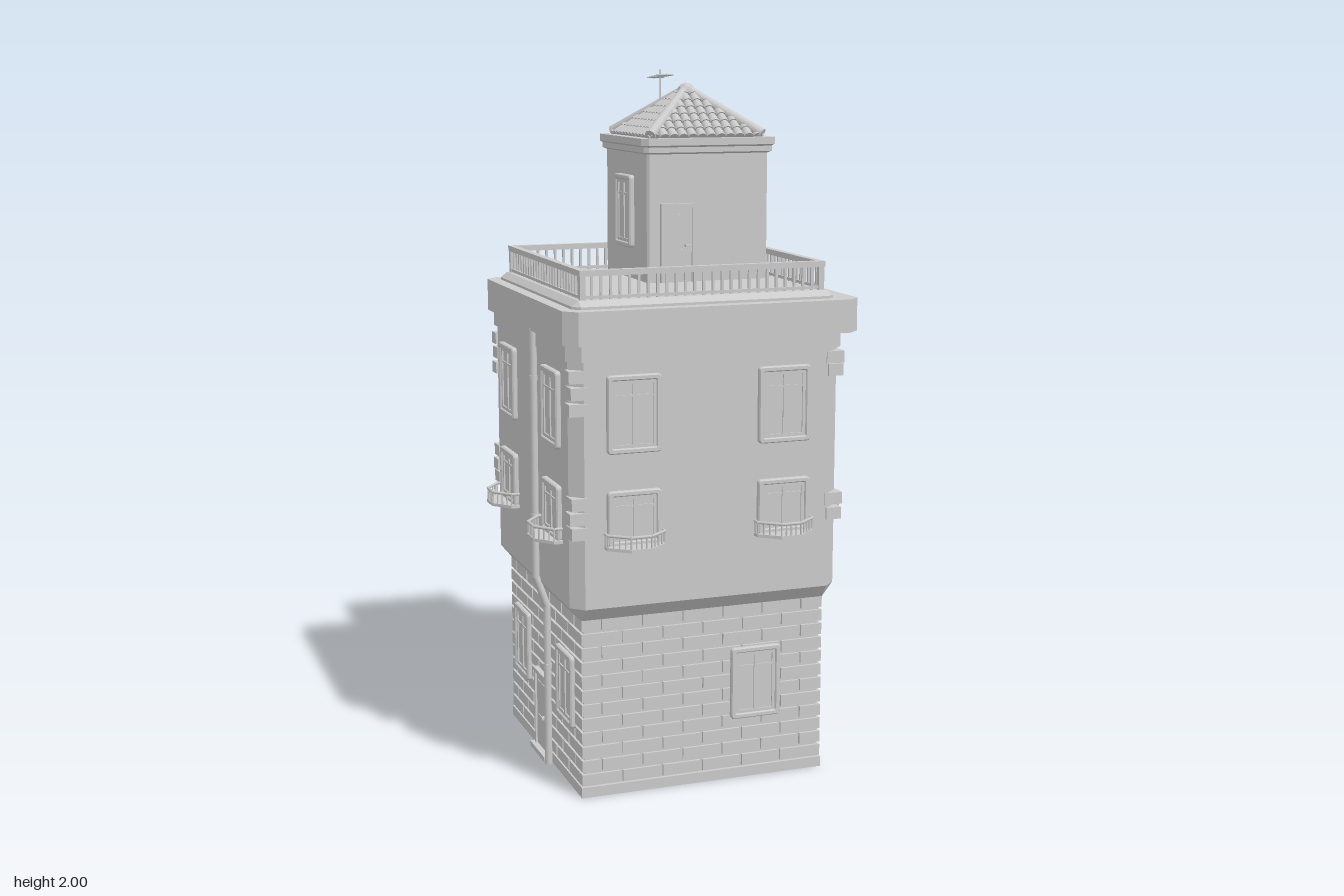
import * as THREE from 'three';
import { mergeGeometries } from 'three/addons/utils/BufferGeometryUtils.js';

const grey = new THREE.MeshStandardMaterial({ color: 0xcccccc });
const flat = new THREE.MeshStandardMaterial({ color: 0xcccccc, flatShading: true });
const V = (x, y, z) => new THREE.Vector3(x, y, z);

function add(parent, name, geo, mat = grey) {
  const m = new THREE.Mesh(Array.isArray(geo) ? mergeGeometries(geo) : geo, mat);
  m.name = name;
  parent.add(m);
  return m;
}
function group(parent, name, x = 0, y = 0, z = 0) {
  const g = new THREE.Group();
  g.name = name;
  g.position.set(x, y, z);
  parent.add(g);
  return g;
}
const box = (w, h, d, x, y, z) => new THREE.BoxGeometry(w, h, d).translate(x, y, z);

// Cylinder between two points, optionally tapered
function rod(a, b, r, r2 = r, sides = 6) {
  const d = b.clone().sub(a);
  const q = new THREE.Quaternion().setFromUnitVectors(V(0, 1, 0), d.clone().normalize());
  return new THREE.CylinderGeometry(r2, r, d.length(), sides)
    .applyQuaternion(q).translate((a.x + b.x) / 2, (a.y + b.y) / 2, (a.z + b.z) / 2);
}

// Stack of square sections with cut corners; each ring is [y, half width, corner cut]
function loft(rings) {
  const pos = [];
  const loops = rings.map(([y, h, c]) => {
    const k = h - c;
    return [[-k, h], [k, h], [h, k], [h, -k], [k, -h], [-k, -h], [-h, -k], [-h, k]].map(([x, z]) => [x, y, z]);
  });
  const tri = (a, b, c) => pos.push(...a, ...b, ...c);
  for (let r = 0; r + 1 < loops.length; r++) {
    const lo = loops[r], hi = loops[r + 1];
    for (let i = 0; i < 8; i++) {
      const j = (i + 1) % 8;
      tri(lo[i], lo[j], hi[j]);
      tri(lo[i], hi[j], hi[i]);
    }
  }
  const first = loops[0], last = loops[loops.length - 1];
  for (let i = 1; i < 7; i++) {
    tri(first[0], first[i + 1], first[i]);
    tri(last[0], last[i], last[i + 1]);
  }
  const g = new THREE.BufferGeometry();
  g.setAttribute('position', new THREE.Float32BufferAttribute(pos, 3));
  g.computeVertexNormals();
  return g;
}

function roundedRect(target, w, h, r) {
  const x = w / 2, y = h / 2;
  target.moveTo(-x + r, -y).lineTo(x - r, -y).quadraticCurveTo(x, -y, x, -y + r)
    .lineTo(x, y - r).quadraticCurveTo(x, y, x - r, y).lineTo(-x + r, y)
    .quadraticCurveTo(-x, y, -x, y - r).lineTo(-x, -y + r).quadraticCurveTo(-x, -y, -x + r, -y);
  return target;
}

// Window: rounded surround, inner frame, pane and glazing bars; faces +z
function windowUnit(parent, x, y, z, w, h) {
  const g = group(parent, 'window', x, y, z);
  const s = roundedRect(new THREE.Shape(), w, h, 0.012);
  s.holes.push(roundedRect(new THREE.Path(), w - 0.03, h - 0.03, 0.003));
  add(g, 'windowSurround', new THREE.ExtrudeGeometry(s, {
    depth: 0.011, bevelSize: 0.003, bevelOffset: -0.003, bevelThickness: 0.004, bevelSegments: 1 }));
  const iw = w - 0.03, ih = h - 0.03, t = 0.009;
  add(g, 'windowPane', box(iw, ih, 0.01, 0, 0, 0.001));
  add(g, 'windowBars', [
    box(t, ih, 0.012, 0, 0, 0.004), box(iw, 0.006, 0.011, 0, ih * 0.27, 0.004),
    ...[-1, 1].flatMap(q => [box(t, ih, 0.012, q * (iw - t) / 2, 0, 0.004), box(iw, t, 0.012, 0, q * (ih - t) / 2, 0.004)]),
  ]);
}

// Small balcony with angled front and a baluster rail
function balcony(parent, x, y, z) {
  const g = group(parent, 'balcony', x, y, z);
  const pts = [[-0.085, 0], [-0.085, 0.025], [-0.03, 0.07], [0.03, 0.07], [0.085, 0.025], [0.085, 0]];
  const s = new THREE.Shape(pts.map(p => new THREE.Vector2(...p)));
  add(g, 'balconyFloor', new THREE.ExtrudeGeometry(s, { depth: 0.009, bevelEnabled: false }).rotateX(Math.PI / 2).translate(0, 0.009, 0));
  const parts = [];
  for (let i = 0; i < 5; i++) {
    const a = V(pts[i][0] * 0.97, 0.042, pts[i][1] * 0.95), b = V(pts[i + 1][0] * 0.97, 0.042, pts[i + 1][1] * 0.95);
    parts.push(rod(a, b, 0.0045));
    const n = Math.max(2, Math.round(a.distanceTo(b) / 0.016));
    for (let j = 0; j < n; j++) {
      const p = a.clone().lerp(b, j / n);
      parts.push(rod(V(p.x, 0.005, p.z), p, 0.0025));
    }
  }
  add(g, 'balconyRail', parts);
}

function door(parent, x, y, z, w, h) {
  const g = group(parent, 'door', x, y, z);
  add(g, 'doorLeaf', [box(w - 0.02, h, 0.01, 0, h / 2, 0),
    ...[0.27, 0.72].map(f => box(w - 0.05, h * 0.32, 0.014, 0, h * f, 0))]);
  add(g, 'doorFrame', [box(w, 0.012, 0.028, 0, h, 0), ...[-1, 1].map(s => box(0.01, h, 0.022, s * (w / 2 - 0.005), h / 2, 0))]);
  add(g, 'doorHandle', box(0.016, 0.007, 0.02, w / 2 - 0.025, h * 0.48, 0.01));
}

// One face of a square tower, turned so that its outside is local +z
function face(parent, name, k) {
  const g = group(parent, name);
  g.rotation.y = k * Math.PI / 2;
  return g;
}

function brickFace(parent) {
  const parts = [], rows = 12, rowH = 0.49 / rows, len = 0.12, half = 0.362;
  for (let r = 0; r < rows; r++) {
    const start = -half - (r % 2 ? len / 2 : 0);
    for (let x = start; x < half - 0.01; x += len) {
      const a = Math.max(x, -half), b = Math.min(x + len, half);
      const l = b < half - 0.001 ? b - a - 0.008 : b - a;
      parts.push(box(l, rowH - 0.008, 0.02, a + l / 2, 0.03 + (r + 0.5) * rowH, 0.352));
    }
  }
  add(parent, 'bricks', parts);
}

// Roof-top building with tiled pyramid roof
function turret(parent) {
  const g = group(parent, 'turret', 0.127, 0, -0.135);
  add(g, 'turretWalls', loft([[1.39, 0.185, 0.006], [1.765, 0.185, 0.006], [1.77, 0.197, 0.012],
    [1.785, 0.197, 0.012], [1.79, 0.205, 0.018], [1.81, 0.205, 0.018]]), flat);
  const h = 0.172, y0 = 1.81, rise = 0.135, cols = 12, rows = 7;
  add(g, 'roofCore', new THREE.ConeGeometry(h * Math.SQRT2, rise, 4).rotateY(Math.PI / 4).translate(0, y0 + rise / 2, 0), flat);
  const tiles = [];
  for (let i = 0; i < cols; i++) {
    const x = (i + 0.5 - cols / 2) * 2 * h / cols, limit = 1 - Math.abs(x) / h;
    for (let j = 0; j / rows < limit; j++) {
      const at = s => V(x, y0 + rise * s, h * (1 - s));
      tiles.push(rod(at(j / rows), at(Math.min((j + 1) / rows + 0.02, limit + 0.01)), 0.0155, 0.0115, 8));
    }
  }
  const tileGeo = mergeGeometries(tiles);
  const ridges = [];
  for (let k = 0; k < 4; k++) {
    add(face(g, 'roofSlope', k), 'roofTiles', tileGeo);
    const sx = k % 2 ? 1 : -1, sz = k < 2 ? 1 : -1;
    ridges.push(rod(V(sx * h, y0 + 0.008, sz * h), V(0, y0 + rise, 0), 0.016, 0.014, 10));
  }
  add(g, 'roofRidges', ridges);
  add(g, 'roofFinial', new THREE.IcosahedronGeometry(0.026, 1).translate(0, 1.937, 0), flat);
  door(g, -0.095, 1.4, 0.187, 0.105, 0.22);
  for (const k of [2, 3]) windowUnit(face(g, 'turretFace', k), 0, 1.595, 0.185, 0.14, 0.21);

  // Aerial: mast, boom and short cross rods
  const m = V(-0.062, 1.98, -0.048), aerial = [rod(V(m.x, 1.84, m.z), V(m.x, 2.0, m.z), 0.0025)];
  aerial.push(rod(V(m.x - 0.005, 1.976, m.z - 0.045), V(m.x + 0.005, 1.986, m.z + 0.045), 0.0025));
  for (let i = 0; i < 5; i++) {
    const z = m.z + (i - 2) * 0.02, y = 1.981 + (i - 2) * 0.002;
    aerial.push(rod(V(m.x - 0.029, y, z + 0.008), V(m.x + 0.029, y, z - 0.008), 0.002));
  }
  add(g, 'aerial', aerial);
}

export function createModel() {
  const root = new THREE.Group();
  root.name = 'towerHouse';

  // Ground storey, plastered upper storeys, cornice
  add(root, 'baseCore', loft([[0, 0.364, 0], [0.03, 0.364, 0], [0.03, 0.354, 0], [0.53, 0.354, 0]]), flat);
  add(root, 'upperWalls', loft([[0.515, 0.362, 0], [0.555, 0.395, 0.035], [1.24, 0.395, 0.035],
    [1.24, 0.403, 0.035], [1.29, 0.403, 0.035]]), flat);
  add(root, 'cornice', loft([[1.285, 0.43, 0.035], [1.378, 0.43, 0.035]]).scale(1, 1, 0.98).translate(0.014, 0, 0), flat);
  add(root, 'roofTerrace', loft([[1.375, 0.381, 0.02], [1.385, 0.381, 0.02], [1.4, 0.362, 0]]), flat);

  const groundWindows = [[0.155], [-0.22, 0.22], [0.2], [-0.22, 0.22]];
  groundWindows.forEach((xs, k) => {
    const f = face(root, ['frontFace', 'leftFace', 'backFace', 'rightFace'][k], k);
    brickFace(f);
    xs.forEach(x => windowUnit(f, x, 0.285, 0.36, 0.15, 0.21));
    for (const x of [-0.22, 0.22]) {
      windowUnit(f, x, 1.093, 0.395, 0.155, 0.215);
      windowUnit(f, x, 0.805, 0.395, 0.155, 0.155);
      balcony(f, x, 0.723, 0.395);
    }
    // Terrace railing
    const rail = [box(0.715, 0.016, 0.02, 0, 1.472, 0.348), box(0.7, 0.008, 0.012, 0, 1.407, 0.348), box(0.016, 0.08, 0.016, 0.348, 1.435, 0.348)];
    for (let i = 1; i < 26; i++) rail.push(box(0.007, 0.07, 0.007, -0.348 + i * 0.696 / 26, 1.435, 0.348));
    add(f, 'terraceRailing', rail);
  });

  // Exposed masonry on the cut corners
  const stones = [];
  for (const sx of [-1, 1]) for (const sz of [-1, 1]) {
    const levels = sx > 0 ? [0.768, 0.81, 1.18, 1.215] : [0.77, 0.81, 0.852, 1.11, 1.155, 1.2];
    levels.forEach((y, i) => stones.push(box(0.045 + 0.008 * (i % 2), 0.034, 0.053 - 0.008 * (i % 2), sx * 0.376, y, sz * 0.376)));
  }
  add(root, 'cornerStones', stones);

  // Entrance and downpipe on the right wall
  const side = face(root, 'entranceSide', 3);
  door(side, -0.01, 0.01, 0.364, 0.13, 0.235);
  add(side, 'doorStep', box(0.15, 0.015, 0.03, -0.01, 0.0075, 0.372));
  const path = [V(0.075, 1.29, 0.408), V(0.075, 0.57, 0.408), V(0.075, 0.48, 0.376), V(0.075, 0, 0.376)];
  const pipe = [];
  for (let i = 0; i < 3; i++) pipe.push(rod(path[i], path[i + 1], 0.011, 0.011, 10));
  for (const i of [1, 2]) pipe.push(new THREE.SphereGeometry(0.0112, 10, 6).translate(path[i].x, path[i].y, path[i].z));
  for (const [y, z] of [[1.15, 0.408], [0.75, 0.408], [0.3, 0.376]]) pipe.push(new THREE.CylinderGeometry(0.013, 0.013, 0.014, 10).translate(0.075, y, z));
  add(side, 'downpipe', pipe);

  turret(root);
  return root;
}
